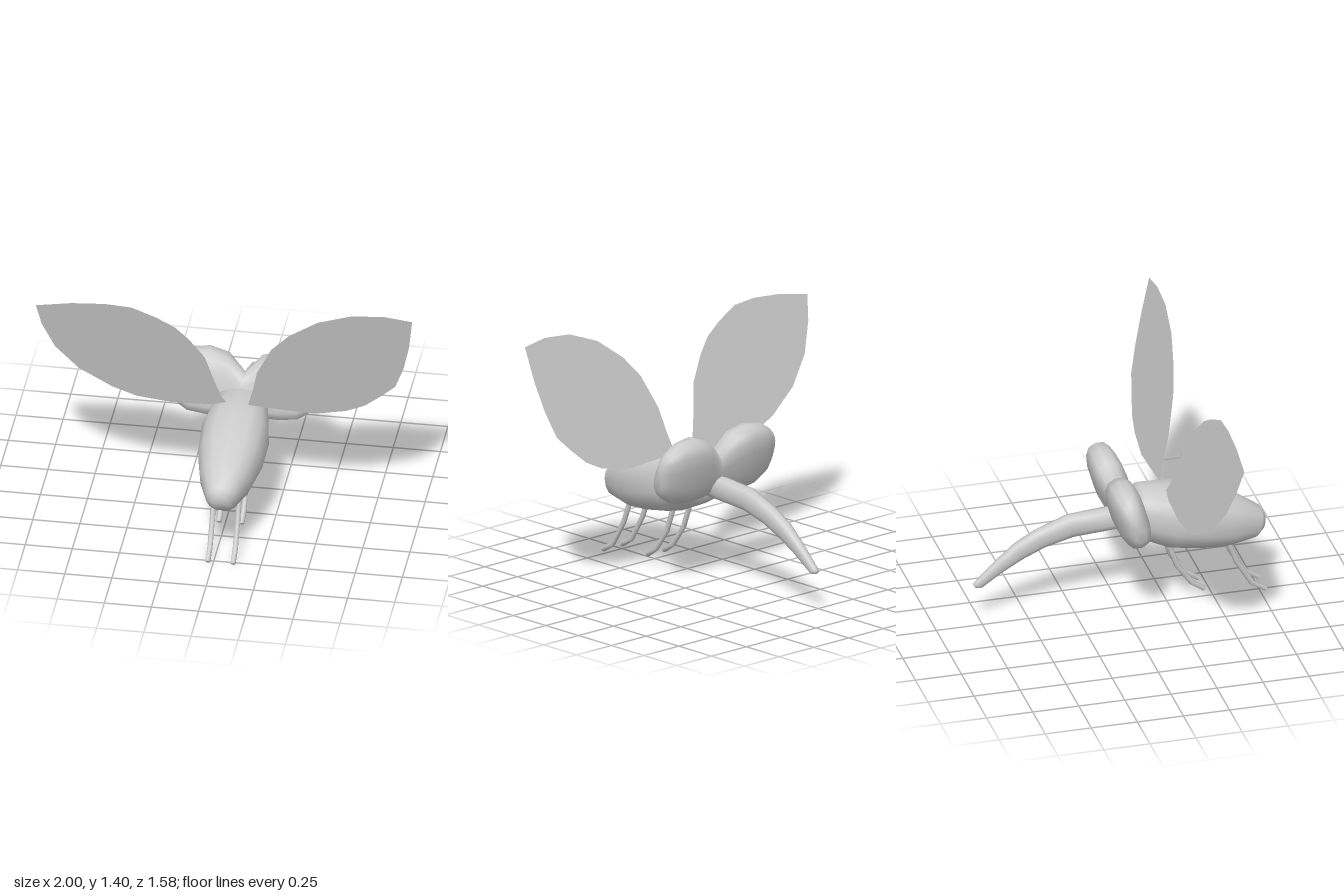
import * as THREE from 'three';

const CX = 0.04; // body midline
const V = (x, y, z) => new THREE.Vector3(x, y, z);
const grey = new THREE.MeshStandardMaterial({ color: 0xcccccc });
const thin = new THREE.MeshStandardMaterial({ color: 0xcccccc, side: THREE.DoubleSide });

// Closed skin over rings {c: centre, u: up half-axis, s: side half-axis}
function loft(name, rings, sides = 14, power = 0.85) {
  const pos = [], idx = [];
  const last = rings.length - 1;
  const d = rings[last].c.clone().sub(rings[0].c);
  const flip = d.cross(rings[1].s).dot(rings[1].u) < 0 ? -1 : 1;
  const soft = (t) => Math.sign(t) * Math.pow(Math.abs(t), power);
  for (const { c, u, s } of rings) {
    for (let j = 0; j < sides; j++) {
      const a = (j / sides) * Math.PI * 2;
      pos.push(...c.clone().addScaledVector(u, soft(Math.cos(a)))
        .addScaledVector(s, flip * soft(Math.sin(a))).toArray());
    }
  }
  for (let i = 0; i < last; i++) {
    for (let j = 0; j < sides; j++) {
      const a = i * sides + j, b = i * sides + (j + 1) % sides;
      idx.push(a, a + sides, b, b, a + sides, b + sides);
    }
  }
  const first = pos.length / 3;
  pos.push(...rings[0].c.toArray(), ...rings[last].c.toArray());
  for (let j = 0; j < sides; j++) {
    const k = (j + 1) % sides, o = last * sides;
    idx.push(first, j, k, first + 1, o + k, o + j);
  }
  const g = new THREE.BufferGeometry();
  g.setAttribute('position', new THREE.Float32BufferAttribute(pos, 3));
  g.setIndex(idx);
  g.computeVertexNormals();
  const mesh = new THREE.Mesh(g, grey);
  mesh.name = name;
  return mesh;
}

// Ring from its top point, bottom point and half width: [zTop, yTop, zBottom, yBottom, w]
const sideRing = ([zt, yt, zb, yb, w]) => ({
  c: V(CX, (yt + yb) / 2, (zt + zb) / 2),
  u: V(0, (yt - yb) / 2, (zt - zb) / 2),
  s: V(w, 0, 0),
});

// Leaf-shaped wing, leaning forward as it rises
function wing(name, outline) {
  const shape = new THREE.Shape(outline.map(([x, y]) => new THREE.Vector2(x, y)));
  const g = new THREE.ShapeGeometry(shape);
  const p = g.attributes.position;
  for (let i = 0; i < p.count; i++) p.setZ(i, 0.235 + (p.getY(i) - 0.64) * 0.26);
  g.computeVertexNormals();
  const mesh = new THREE.Mesh(g, thin);
  mesh.name = name;
  return mesh;
}

// Bent leg swept along straight pieces: points are [z, y]
function leg(name, x, points) {
  const rings = points.map(([z, y], i) => {
    const a = points[Math.max(i - 1, 0)], b = points[Math.min(i + 1, points.length - 1)];
    const dir = V(0, b[1] - a[1], b[0] - a[0]).normalize();
    return { c: V(x, y, z), u: V(0, -dir.z, dir.y).multiplyScalar(0.015), s: V(0.015, 0, 0) };
  });
  return loft(name, rings, 6, 1);
}

export function createModel() {
  const model = new THREE.Group();

  // Plump abdomen, tapering to the front
  model.add(loft('body', [
    [0.08, 0.64, 0.045, 0.46, 0.11],
    [0.12, 0.684, 0.07, 0.41, 0.145],
    [0.32, 0.67, 0.25, 0.33, 0.18],
    [0.49, 0.616, 0.43, 0.3, 0.172],
    [0.645, 0.553, 0.58, 0.287, 0.137],
    [0.77, 0.47, 0.73, 0.308, 0.082],
    [0.79, 0.43, 0.775, 0.345, 0.045],
  ].map(sideRing)));

  // Two-lobed head, pinched in the middle: [x, centre y, half height, half thickness]
  const half = [
    [0, 0.595, 0.11, 0.07],
    [0.09, 0.635, 0.17, 0.085],
    [0.19, 0.645, 0.188, 0.088],
    [0.29, 0.645, 0.175, 0.08],
    [0.36, 0.645, 0.13, 0.06],
    [0.395, 0.645, 0.085, 0.035],
  ];
  const lobes = [...half.slice(1).reverse().map(([x, ...r]) => [-x, ...r]), ...half];
  const tilt = 0.28;
  model.add(loft('head', lobes.map(([x, y, h, t]) => ({
    c: V(CX + x, y, (0.645 - y) * Math.tan(tilt)),
    u: V(0, Math.cos(tilt), -Math.sin(tilt)).multiplyScalar(h),
    s: V(0, Math.sin(tilt), Math.cos(tilt)).multiplyScalar(t),
  })), 14, 0.75));

  // Long drooping trunk
  model.add(loft('trunk', [
    [0.02, 0.58, 0.02, 0.46, 0.058],
    [-0.05, 0.582, -0.05, 0.455, 0.057],
    [-0.28, 0.565, -0.25, 0.44, 0.05],
    [-0.45, 0.5, -0.4, 0.4, 0.043],
    [-0.565, 0.435, -0.52, 0.346, 0.038],
    [-0.67, 0.346, -0.63, 0.283, 0.03],
    [-0.78, 0.24, -0.745, 0.203, 0.021],
    [-0.79, 0.225, -0.775, 0.207, 0.015],
  ].map(sideRing), 10));

  // Wings, set at slightly different angles
  model.add(wing('leftWing', [
    [0.1, 0.665], [0.18, 0.655], [0.45, 0.64], [0.62, 0.68], [0.72, 0.73], [0.81, 0.81],
    [0.89, 0.89], [0.94, 1.03], [0.976, 1.19], [1, 1.38], [0.853, 1.4], [0.68, 1.385],
    [0.495, 1.315], [0.34, 1.2], [0.24, 1.085], [0.157, 0.905], [0.13, 0.775],
  ]));
  model.add(wing('rightWing', [
    [-0.015, 0.67], [-0.04, 0.71], [-0.07, 0.81], [-0.115, 0.985], [-0.195, 1.11],
    [-0.265, 1.19], [-0.36, 1.25], [-0.49, 1.31], [-0.63, 1.32], [-0.81, 1.305], [-1, 1.267],
    [-0.975, 1.135], [-0.91, 0.975], [-0.79, 0.83], [-0.62, 0.715], [-0.49, 0.66],
    [-0.3, 0.635], [-0.09, 0.645],
  ]));

  // Two pairs of bent legs
  for (const [side, dx] of [['left', 0.067], ['right', -0.067]]) {
    model.add(leg(side + 'FrontLeg', CX + dx,
      [[0.57, 0.35], [0.58, 0.31], [0.622, 0.2], [0.705, 0.063], [0.78, 0.017]]));
    model.add(leg(side + 'BackLeg', CX + dx * 0.9,
      [[0.245, 0.38], [0.26, 0.33], [0.3, 0.22], [0.38, 0.107], [0.45, 0.06]]));
  }
  return model;
}
